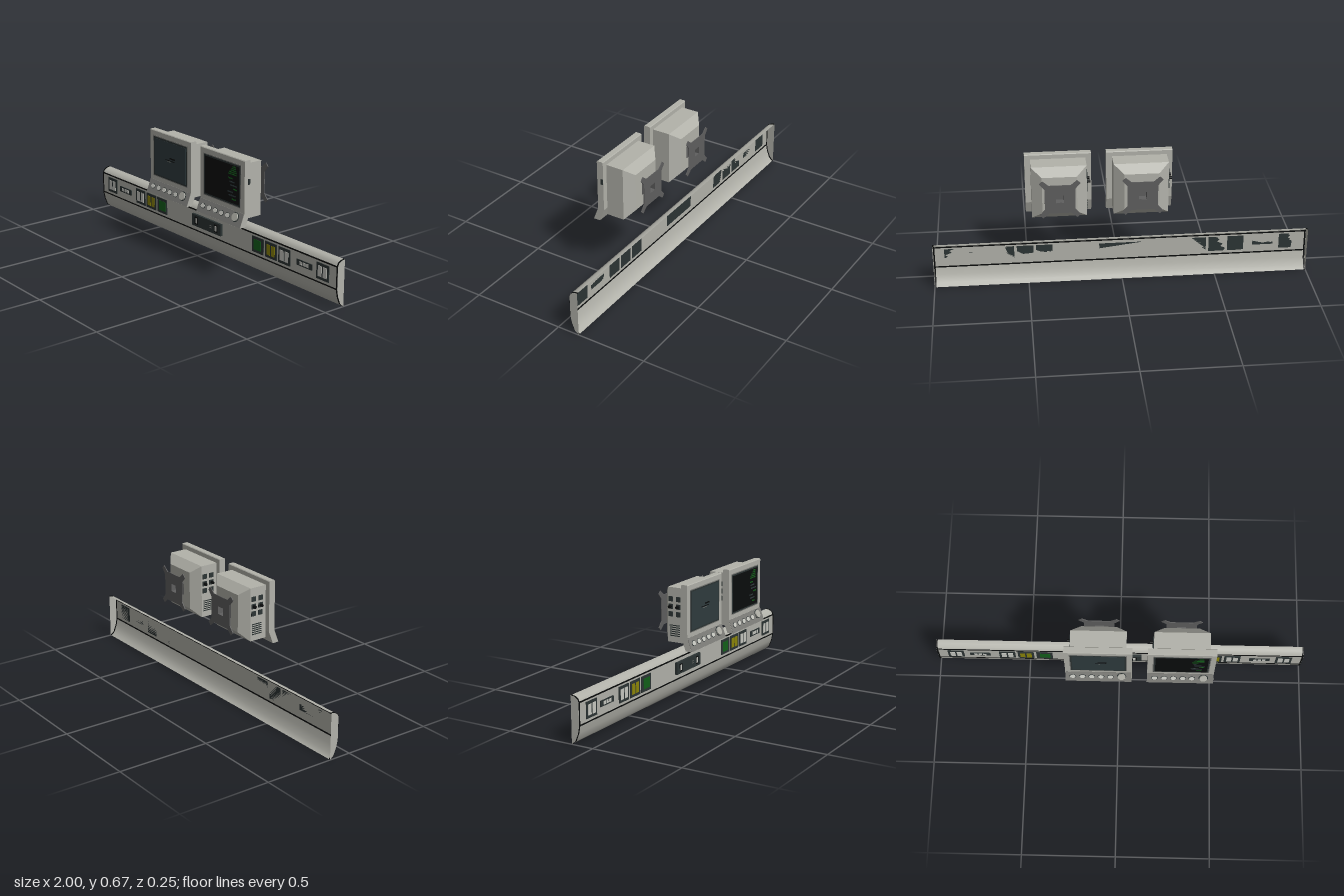
import * as THREE from 'three';

const mat = (name, color, side = THREE.FrontSide) => {
  const m = new THREE.MeshStandardMaterial({ color, side });
  m.name = name;
  return m;
};

export function createModel() {
  const grey = mat('shell grey', 0xb2b2aa, THREE.DoubleSide);
  const panelGrey = mat('control panel grey', 0x7c7c78);
  const mountGrey = mat('mount grey', 0x5f5f5f, THREE.DoubleSide);
  const charcoal = mat('charcoal', 0x2c3434);
  const slate = mat('screen slate', 0x2f3b3e);
  const black = mat('black', 0x0a0c0c);
  const pale = mat('pale key', 0xc8c9c2);
  const yellow = mat('yellow key', 0x8c8608);
  const green = mat('green key', 0x12601a);

  const root = new THREE.Group();
  root.name = 'railWithMonitors';

  const add = (parent, name, geo, material, x = 0, y = 0, z = 0) => {
    const m = new THREE.Mesh(geo, material);
    m.name = name;
    m.position.set(x, y, z);
    parent.add(m);
    return m;
  };
  const box = (parent, name, material, w, h, d, x, y, z) =>
    add(parent, name, new THREE.BoxGeometry(w, h, d), material, x, y, z);
  const group = (parent, name, x = 0, y = 0, z = 0) => {
    const g = new THREE.Group();
    g.name = name;
    g.position.set(x, y, z);
    parent.add(g);
    return g;
  };

  // Wall rail: an open shell made of three sheets, points are [z, y] from top to bottom
  const upper = [[-0.122, 0.247], [-0.1, 0.243], [-0.084, 0.232], [-0.077, 0.216]];
  const middle = [[-0.077, 0.216], [-0.077, 0.097]];
  const lower = [[-0.077, 0.097], [-0.085, 0.057], [-0.101, 0.017], [-0.122, 0]];
  const rail = group(root, 'rail');
  const sheet = (name, pts) => {
    const g = new THREE.PlaneGeometry(2, 1, 1, pts.length - 1);
    const p = g.attributes.position;
    for (let i = 0; i < p.count; i++) {
      const [z, y] = pts[Math.floor(i / 2)];
      p.setXYZ(i, p.getX(i), y, z);
    }
    g.computeVertexNormals();
    add(rail, name, g, grey);
  };
  sheet('railTop', upper);
  sheet('railFace', middle);
  sheet('railUnderside', lower);

  // End caps with a dark joint beside each
  const outline = [...upper, ...lower];
  const capShape = new THREE.Shape(outline.map(([z, y]) => new THREE.Vector2(z, y)));
  for (const s of [-1, 1]) {
    const cap = add(rail, 'endCap', new THREE.ShapeGeometry(capShape), grey, s);
    cap.rotation.y = -Math.PI / 2;
    for (let i = 0; i < outline.length - 1; i++) {
      const [z0, y0] = outline[i], [z1, y1] = outline[i + 1];
      const len = Math.hypot(z1 - z0, y1 - y0);
      if (len < 0.001) continue;
      const joint = box(rail, 'endJoint', black, 0.008, len, 0.003, s * 0.995, (y0 + y1) / 2, (z0 + z1) / 2);
      joint.rotation.x = Math.atan2(z0 - z1, y0 - y1);
    }
  }
  // Dark seams along the edges of the rail face
  for (const y of [0.216, 0.099]) box(rail, 'seam', black, 1.99, 0.007, 0.004, 0, y, -0.0775);

  // Outlet plates, mirrored about the middle of the rail
  const twin = (x, material) => {
    const g = group(rail, 'twinOutlet', x, 0.16, -0.075);
    box(g, 'plate', charcoal, 0.088, 0.086, 0.004, 0, 0, 0);
    for (const s of [-1, 1]) box(g, 'key', material, 0.027, 0.056, 0.002, s * 0.018, 0, 0.003);
  };
  for (const s of [-1, 1]) {
    twin(s * 0.897, pale);
    twin(s * 0.616, pale);
    twin(s * 0.514, yellow);
    const single = group(rail, 'greenOutlet', s * 0.412, 0.16, -0.075);
    box(single, 'plate', charcoal, 0.088, 0.086, 0.004, 0, 0, 0);
    box(single, 'key', green, 0.056, 0.056, 0.002, s * -0.003, 0, 0.003);
    const strip = group(rail, 'switchStrip', s * 0.765, 0.16, -0.075);
    box(strip, 'plate', charcoal, 0.112, 0.032, 0.004, 0, 0, 0);
    for (const k of [-1, 0, 1]) box(strip, 'key', pale, 0.018, 0.018, 0.002, k * 0.024, 0, 0.003);
  }
  // Centre console on the rail
  const console_ = group(rail, 'centreConsole', -0.003, 0.162, -0.07);
  box(console_, 'plate', charcoal, 0.244, 0.066, 0.014, 0, 0, 0);
  for (const s of [-1, 1]) {
    box(console_, 'socket', black, 0.026, 0.044, 0.001, s * 0.084, 0, 0.0073);
    box(console_, 'key', pale, 0.014, 0.03, 0.002, s * 0.084, 0, 0.0078);
  }
  for (const x of [0.036, 0.046]) for (const y of [-0.006, 0.006])
    box(console_, 'indicator', panelGrey, 0.005, 0.005, 0.002, x, y, 0.0075);

  // Bezel profile in [z, y], with the kicked-out control lip at the bottom
  const bezelShape = new THREE.Shape([
    [0.06, 0.664], [0.06, 0.39], [0.087, 0.32], [0.123, 0.32], [0.096, 0.39], [0.096, 0.664],
    [0.093, 0.668], [0.063, 0.668]].map(([z, y]) => new THREE.Vector2(z, y)));

  // Mount plate: square with four diagonal ears and a hole for the hollow arm
  const plateShape = new THREE.Shape();
  for (let q = 0; q < 4; q++) {
    const c = Math.cos(q * Math.PI / 2), s = Math.sin(q * Math.PI / 2);
    [[0.08, -0.058], [0.08, 0.058], [0.107, 0.09], [0.09, 0.107], [0.058, 0.08]].forEach(([x, y], i) =>
      plateShape[q + i ? 'lineTo' : 'moveTo'](x * c - y * s, x * s + y * c));
  }
  const hole = new THREE.Path();
  hole.moveTo(-0.021, -0.021).lineTo(-0.021, 0.021).lineTo(0.021, 0.021).lineTo(0.021, -0.021);
  plateShape.holes.push(hole);

  const monitor = (x) => {
    const g = group(root, 'monitor', x);
    const bezel = new THREE.ExtrudeGeometry(bezelShape, { depth: 0.352, bevelEnabled: false });
    bezel.rotateY(-Math.PI / 2).translate(0.176, 0, 0);
    add(g, 'bezel', bezel, grey);

    // Housing and its tapered back
    box(g, 'housing', grey, 0.291, 0.291, 0.099, 0, 0.4955, 0.0115);
    const taper = new THREE.BoxGeometry(0.291, 0.291, 0.041);
    const p = taper.attributes.position;
    for (let i = 0; i < p.count; i++)
      if (p.getZ(i) < 0) p.setXY(i, p.getX(i) * 0.63, p.getY(i) * 0.705);
    taper.computeVertexNormals();
    add(g, 'taperedBack', taper, grey, 0, 0.4955, -0.0585);

    // Screen
    box(g, 'screenFrame', panelGrey, 0.298, 0.226, 0.002, 0, 0.526, 0.0965);
    box(g, 'screenEdge', charcoal, 0.288, 0.216, 0.002, 0, 0.526, 0.0972);

    // Controls on the sloping lip
    const lip = group(g, 'controlPanel', 0, 0.355, 0.1095);
    lip.rotation.x = -Math.atan2(0.027, 0.07);
    box(lip, 'panel', panelGrey, 0.35, 0.074, 0.002, 0, 0, 0.001);
    const disc = (name, m, r, bx, by, d) => {
      const k = add(lip, name, new THREE.CylinderGeometry(r, r, d, 20), m, bx, by, 0.002 + d / 2);
      k.rotation.x = Math.PI / 2;
      return k;
    };
    for (const bx of [-0.136, -0.085, -0.036, 0.013, 0.062]) {
      disc('buttonRing', charcoal, 0.018, bx, 0.002, 0.001).scale.z = 0.8;
      disc('button', pale, 0.015, bx, 0.002, 0.003).scale.z = 0.8;
    }
    disc('knobRing', charcoal, 0.025, 0.122, 0.008, 0.001);
    disc('knob', grey, 0.021, 0.122, 0.008, 0.008);

    // Sockets and vents on one side of the housing
    for (const z of [-0.02, 0.025]) {
      for (const y of [0.5, 0.54, 0.58])
        box(g, 'socket', charcoal, 0.006, 0.026, 0.026, -0.147, y, z);
      const plug = add(g, 'plug', new THREE.CylinderGeometry(0.008, 0.008, 0.02, 12), black, -0.155, 0.54, z);
      plug.rotation.z = Math.PI / 2;
    }
    for (let i = 0; i < 6; i++)
      box(g, 'vent', charcoal, 0.003, 0.005, 0.06, -0.146, 0.385 + i * 0.011, 0.003);

    // Hollow square arm and wall plate
    box(g, 'armFlange', mountGrey, 0.07, 0.07, 0.004, 0, 0.492, -0.08);
    for (const s of [-1, 1]) {
      box(g, 'armSide', mountGrey, 0.003, 0.047, 0.039, s * 0.022, 0.492, -0.0995);
      box(g, 'armSide', mountGrey, 0.047, 0.003, 0.039, 0, 0.492 + s * 0.022, -0.0995);
    }
    const plate = new THREE.ExtrudeGeometry(plateShape, { depth: 0.004, bevelEnabled: false });
    add(g, 'wallPlate', plate, mountGrey, 0, 0.492, -0.122);
    return g;
  };

  // First monitor: idle screen with a small mark
  const idle = monitor(-0.108);
  box(idle, 'screen', slate, 0.272, 0.2, 0.002, 0, 0.526, 0.0982);
  box(idle, 'screenMark', black, 0.045, 0.008, 0.001, 0.02, 0.54, 0.0992);
  box(idle, 'screenMark', black, 0.08, 0.004, 0.001, 0, 0.527, 0.0992);
  box(idle, 'screenMark', panelGrey, 0.03, 0.003, 0.001, -0.005, 0.52, 0.0992);

  // Second monitor: black screen with green readouts down one side
  const live = monitor(0.324);
  box(live, 'screen', black, 0.272, 0.2, 0.002, 0, 0.526, 0.0982);
  for (let i = 0; i < 5; i++)
    box(live, 'readout', green, 0.026 + 0.01 * i, 0.006, 0.001, 0.1 - 0.004 * i, 0.618 - i * 0.01, 0.0992);
  for (let i = 0; i < 7; i++)
    box(live, 'readoutRow', i % 3 ? slate : green, 0.03 + 0.012 * (i % 3), 0.007, 0.001,
      0.07 + 0.012 * (i % 4), 0.555 - i * 0.018, 0.0992);
  box(live, 'sideSwitch', charcoal, 0.006, 0.03, 0.012, 0.176, 0.555, 0.068);

  return root;
}
